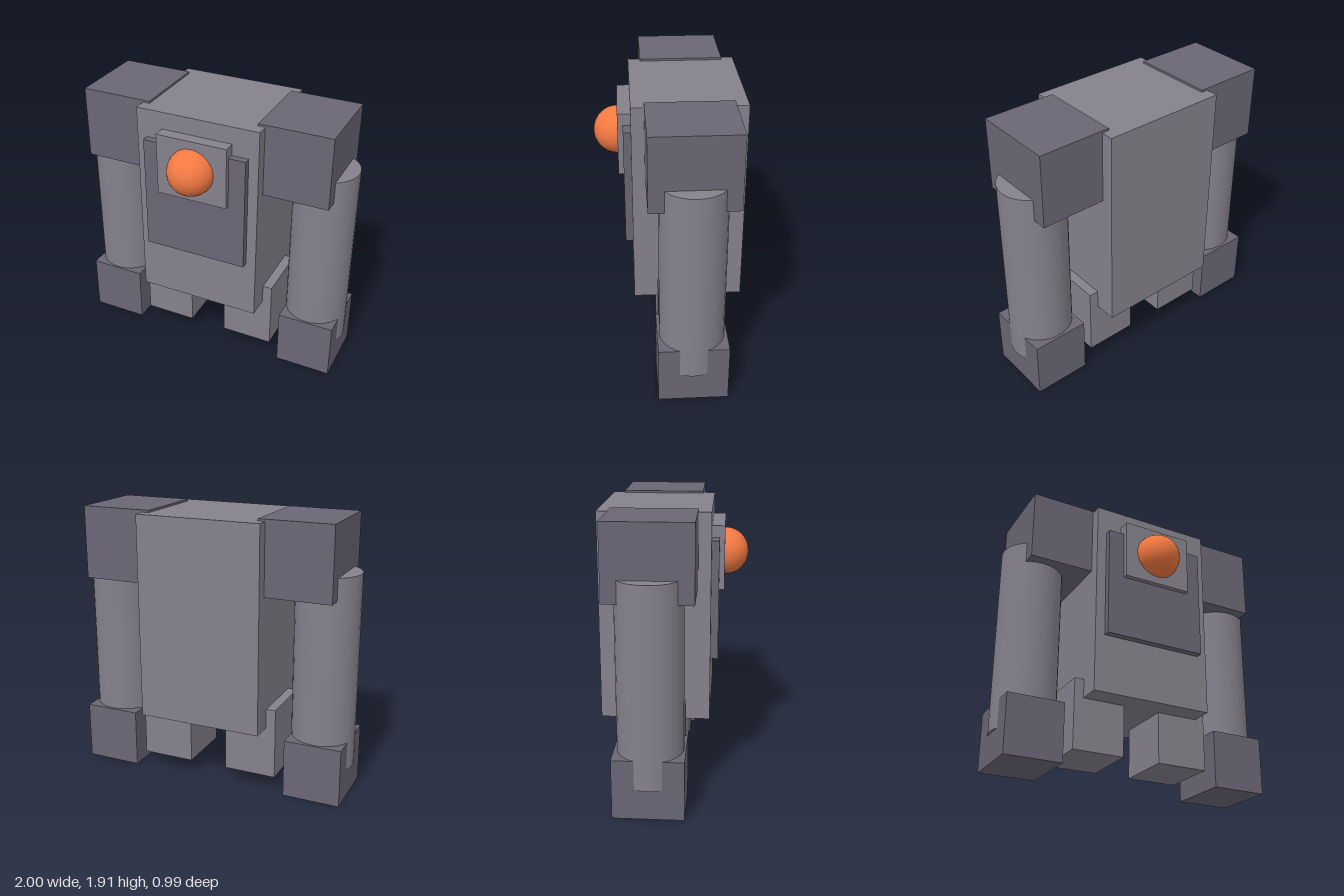
import * as THREE from 'three';

const light = new THREE.MeshStandardMaterial({ color: 0x85818c });
const dark = new THREE.MeshStandardMaterial({ color: 0x6a6675 });
const orange = new THREE.MeshStandardMaterial({ color: 0xf47a42 });

// Box given by its [min, max] extents on each axis
function box(name, [x0, x1], [y0, y1], [z0, z1], material) {
  const mesh = new THREE.Mesh(new THREE.BoxGeometry(x1 - x0, y1 - y0, z1 - z0), material);
  mesh.position.set((x0 + x1) / 2, (y0 + y1) / 2, (z0 + z1) / 2);
  mesh.name = name;
  return mesh;
}

// Extents along x, mirrored to the right side when s is -1
const side = (s, a, b) => (s > 0 ? [a, b] : [-b, -a]);

export function createModel() {
  const model = new THREE.Group();
  model.name = 'robot';

  // Torso, with stacked plates on the front
  model.add(
    box('torso', [-0.44, 0.44], [0.475, 1.9], [-0.495, 0.25], light),
    box('chestPlate', [-0.37, 0.37], [0.89, 1.7], [0.2, 0.3], dark),
    box('facePlate', [-0.253, 0.253], [1.345, 1.78], [0.2, 0.335], light)
  );

  // Round eye, half sunk in the face plate
  const eye = new THREE.Mesh(new THREE.SphereGeometry(0.162, 32, 20), orange);
  eye.position.set(0, 1.562, 0.335);
  eye.name = 'eye';
  model.add(eye);

  for (const s of [1, -1]) {
    const label = s > 0 ? 'left' : 'right';

    // Arm: shoulder block, round arm, block hand
    const arm = new THREE.Group();
    arm.name = label + 'Arm';
    const tube = new THREE.Mesh(new THREE.CylinderGeometry(0.22, 0.22, 1.35, 32), light);
    tube.position.set(s * 0.78, 0.885, -0.123);
    tube.name = label + 'ArmTube';
    arm.add(
      box(label + 'Shoulder', side(s, 0.39, 0.895), [1.41, 1.915], [-0.41, 0.165], dark),
      tube,
      box(label + 'Hand', side(s, 0.58, 0.98), [0, 0.41], [-0.36, 0.11], dark)
    );
    model.add(arm);

    // Short leg
    model.add(box(label + 'Leg', side(s, 0.135, 0.507), [0.11, 0.61], [-0.34, 0.09], light));
  }
  return model;
}
